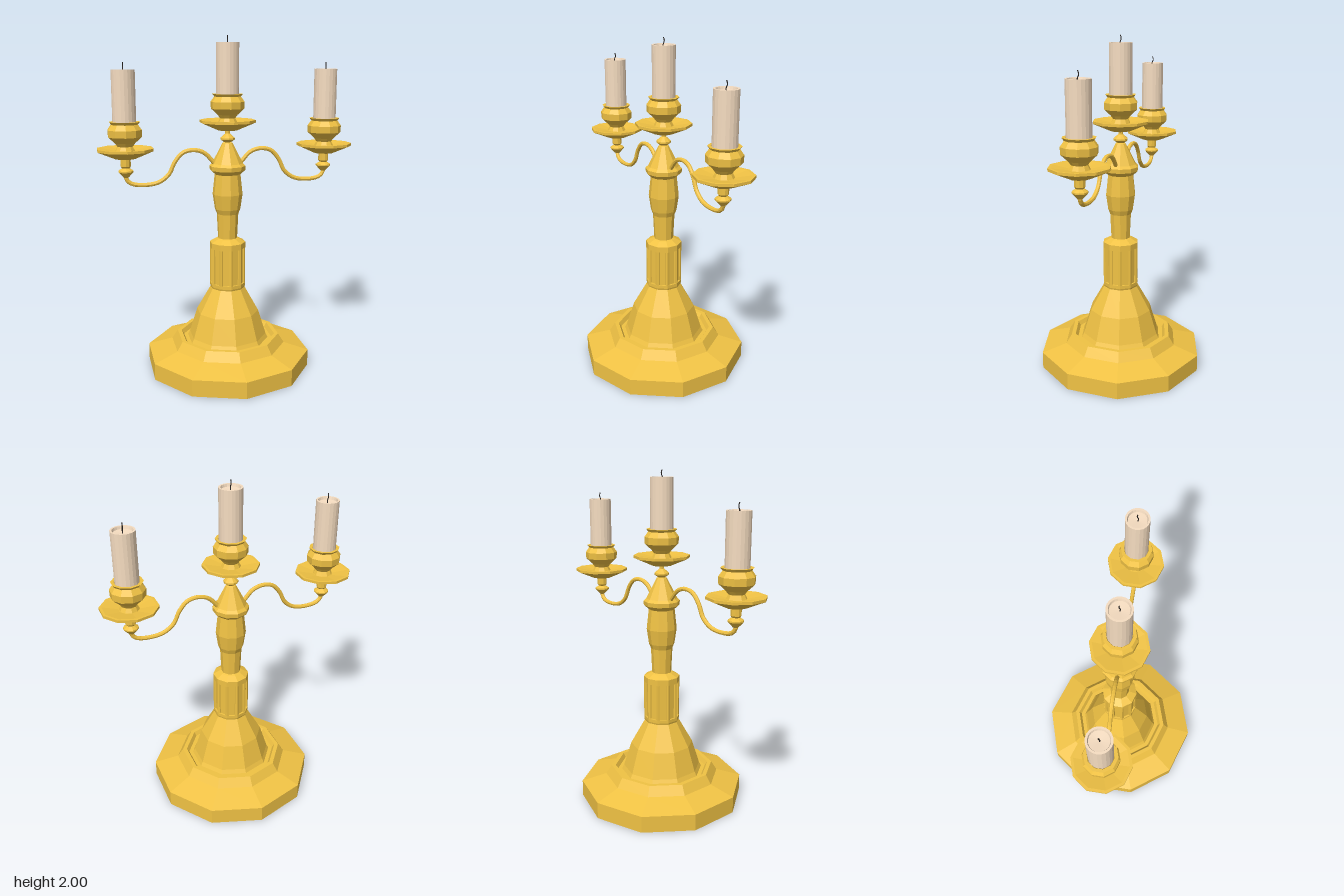
import * as THREE from 'three';

const SIDES = 10;
const gold = new THREE.MeshStandardMaterial({ color: 0xf0c244, flatShading: true });
const wax = new THREE.MeshStandardMaterial({ color: 0xf5dcc0 , flatShading: true });
const black = new THREE.MeshStandardMaterial({ color: 0x2a2522 });

function add(parent, name, geometry, material) {
  const mesh = new THREE.Mesh(geometry, material);
  mesh.name = name;
  parent.add(mesh);
  return mesh;
}

// Turned part: profile of [radius, height] from bottom to top
function turned(parent, name, profile, material = gold, sides = SIDES) {
  const points = profile.map(([r, y]) => new THREE.Vector2(r, y));
  return add(parent, name, new THREE.LatheGeometry(points, sides), material);
}

// Drip dish, cup, candle and wick; y = 0 is the underside of the dish
function createHolder(name) {
  const holder = new THREE.Group();
  holder.name = name;
  turned(holder, 'dripDish', [
    [0, 0], [0.06, 0], [0.165, 0.045], [0.165, 0.06], [0.15, 0.06], [0.06, 0.045], [0, 0.045],
  ]);
  turned(holder, 'cup', [
    [0.06, 0.04], [0.045, 0.07], [0.06, 0.09], [0.098, 0.125], [0.1, 0.165],
    [0.078, 0.195], [0.09, 0.21], [0.072, 0.21], [0.062, 0.19], [0, 0.19],
  ]);
  // Candle with a shallow hollow around the wick
  turned(holder, 'candle', [
    [0, 0.19], [0.067, 0.19], [0.067, 0.5], [0.056, 0.5], [0.052, 0.485], [0, 0.48],
  ], wax, 20);
  const wickPath = new THREE.CatmullRomCurve3([
    new THREE.Vector3(0, 0.475, 0), new THREE.Vector3(0, 0.5, 0.004),
    new THREE.Vector3(0, 0.52, -0.004), new THREE.Vector3(0, 0.54, 0.002),
  ]);
  add(holder, 'wick', new THREE.TubeGeometry(wickPath, 8, 0.003, 5), black);
  return holder;
}

export function createModel() {
  const model = new THREE.Group();
  model.name = 'candelabra';

  // Stepped foot with a groove around the bell
  turned(model, 'foot', [
    [0, 0], [0.5, 0], [0.5, 0.1], [0.35, 0.145], [0.315, 0.2], [0.29, 0.2],
    [0.275, 0.175], [0.25, 0.175], [0.237, 0.2], [0.19, 0.35], [0.105, 0.5],
  ]);

  // Column with recessed panels between corner ribs
  turned(model, 'column', [
    [0.105, 0.5], [0.108, 0.51], [0.108, 0.53], [0.097, 0.53], [0.097, 0.75],
    [0.108, 0.75], [0.108, 0.785], [0.07, 0.805], [0.058, 0.81],
  ]);
  const ribs = new THREE.Group();
  ribs.name = 'columnRibs';
  for (let i = 0; i < SIDES; i++) {
    const a = (i / SIDES) * Math.PI * 2;
    const rib = add(ribs, 'rib', new THREE.CylinderGeometry(0.014, 0.014, 0.22, 6), gold);
    rib.position.set(Math.sin(a) * 0.094, 0.64, Math.cos(a) * 0.094);
    rib.rotation.y = a;
  }
  model.add(ribs);

  // Baluster stem, shoulder, and the small knob under the middle dish
  turned(model, 'stem', [
    [0.058, 0.81], [0.065, 0.96], [0.077, 0.99], [0.09, 1.08], [0.077, 1.2],
    [0.106, 1.225], [0.108, 1.25], [0.092, 1.265], [0.03, 1.385],
    [0.022, 1.39], [0.043, 1.405], [0.043, 1.415], [0.014, 1.44], [0.014, 1.465],
  ]);
  const middle = createHolder('middleHolder');
  middle.position.y = 1.46;
  model.add(middle);

  // Mirrored side arms
  for (const s of [1, -1]) {
    const side = s > 0 ? 'left' : 'right';
    const path = new THREE.CatmullRomCurve3([
      [0.06, 1.24], [0.095, 1.285], [0.14, 1.33], [0.2, 1.348], [0.265, 1.335], [0.315, 1.28],
      [0.35, 1.21], [0.41, 1.165], [0.5, 1.152], [0.57, 1.164], [0.597, 1.19], [0.6, 1.22],
    ].map(([x, y]) => new THREE.Vector3(s * x, y, 0)));
    add(model, side + 'Arm', new THREE.TubeGeometry(path, 32, 0.0125, 8), gold);
    const finial = turned(model, side + 'Finial', [
      [0, 1.2], [0.014, 1.2], [0.044, 1.232], [0.044, 1.24], [0.022, 1.255], [0.03, 1.265], [0.03, 1.32],
    ]);
    finial.position.x = s * 0.598;
    const holder = createHolder(side + 'Holder');
    holder.position.set(s * 0.598, 1.31, 0);
    model.add(holder);
  }
  return model;
}
